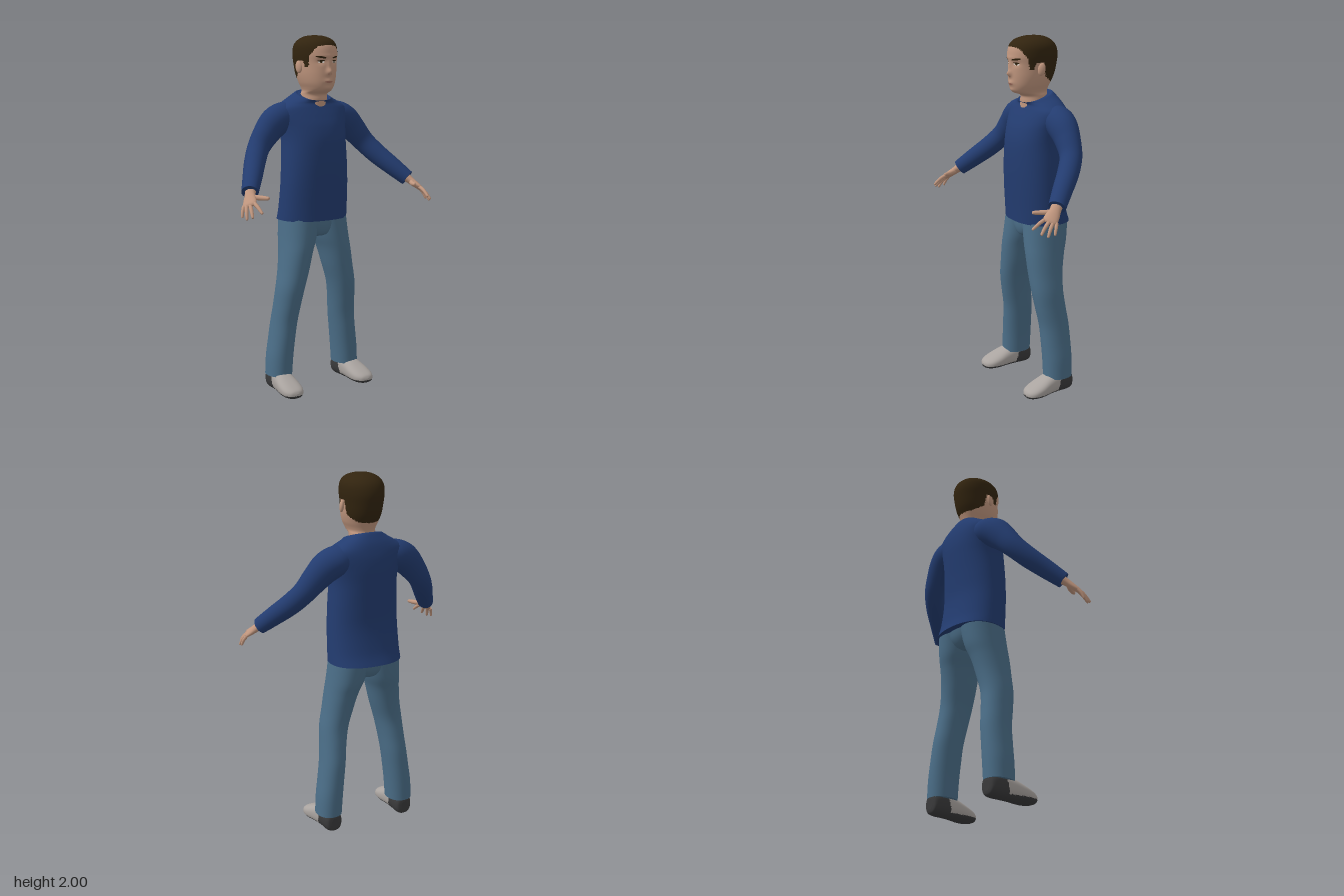
import * as THREE from 'three';

const mat = (name, color) => {
  const m = new THREE.MeshStandardMaterial({ color });
  m.name = name;
  return m;
};
const skin = mat('skin', 0xc0967e), hair = mat('hair', 0x32240f), shirt = mat('shirt blue', 0x233c70);
const denim = mat('denim', 0x4b6e88), shoeGrey = mat('shoe grey', 0xaaa4a0), sole = mat('sole dark', 0x3a3a3b);
const eyeWhite = mat('eye white', 0xd8d0c8), lip = mat('lip', 0xa87464);

// Smooth interpolation of rows of numbers, all of one length
function spread(rows, n) {
  const out = [];
  for (let i = 0; i <= n; i++) {
    const f = (i / n) * (rows.length - 1), k = Math.min(Math.floor(f), rows.length - 2), t = f - k;
    const [a, b, c, d] = [-1, 0, 1, 2].map(o => rows[THREE.MathUtils.clamp(k + o, 0, rows.length - 1)]);
    out.push(b.map((p1, j) => p1 + 0.5 * t * (c[j] - a[j]
      + t * (2 * a[j] - 5 * p1 + 4 * c[j] - d[j] + t * (3 * (p1 - c[j]) + d[j] - a[j])))));
  }
  return out;
}

// Skin a closed surface over rings; place(row, cos, sin, index, rows) gives a point
function loft(name, rows, place, materials, { n = 40, segs = 40, p = 2, mirror = 1, pick = null } = {}) {
  const R = spread(rows, n), pos = [], tris = [];
  const bend = v => Math.sign(v) * Math.abs(v) ** (2 / p);
  R.forEach((r, i) => {
    for (let j = 0; j < segs; j++) {
      const a = (j / segs) * Math.PI * 2;
      const [x, y, z] = place(r, bend(Math.cos(a)), bend(Math.sin(a)), i, R);
      pos.push(x * mirror, y, z);
    }
  });
  for (let i = 0; i < n; i++) for (let j = 0; j < segs; j++) {
    const a = i * segs + j, b = i * segs + (j + 1) % segs;
    tris.push([a, b, a + segs], [b, b + segs, a + segs]);
  }
  // end caps with their own vertices, so the rims stay crisp
  [0, n].forEach(i => {
    const base = pos.length / 3, mid = [0, 0, 0];
    for (let j = 0; j < segs; j++) for (let c = 0; c < 3; c++) {
      const v = pos[(i * segs + j) * 3 + c];
      pos.push(v);
      mid[c] += v / segs;
    }
    pos.push(...mid);
    for (let j = 0; j < segs; j++) {
      const a = base + j, b = base + (j + 1) % segs;
      tris.push(i ? [a, b, base + segs] : [b, a, base + segs]);
    }
  });
  // make the surface face outward
  const pt = i => new THREE.Vector3().fromArray(pos, i * 3);
  const volume = tris.reduce((s, [a, b, c]) => s + pt(a).dot(pt(b).cross(pt(c))), 0);
  if (volume < 0) tris.forEach(t => t.reverse());

  const g = new THREE.BufferGeometry();
  g.setAttribute('position', new THREE.Float32BufferAttribute(pos, 3));
  if (pick) {
    const sets = materials.map(() => []);
    tris.forEach(t => {
      const c = pt(t[0]).add(pt(t[1])).add(pt(t[2])).divideScalar(3);
      sets[pick(c.x, c.y, c.z)].push(...t);
    });
    let start = 0;
    sets.forEach((s, i) => { g.addGroup(start, s.length, i); start += s.length; });
    g.setIndex(sets.flat());
  } else g.setIndex(tris.flat());
  g.computeVertexNormals();
  const m = new THREE.Mesh(g, materials);
  m.name = name;
  return m;
}

// Rings square to a path; rows are [x, y, z, radius along axis, radius across]
function limb(name, rows, axis, material, opts) {
  const at = r => new THREE.Vector3(r[0], r[1], r[2]);
  return loft(name, rows, (r, c, s, i, R) => {
    const t = at(R[Math.min(i + 1, R.length - 1)]).sub(at(R[Math.max(i - 1, 0)])).normalize();
    const u = new THREE.Vector3(...axis);
    u.addScaledVector(t, -t.dot(u)).normalize();
    const v = t.clone().cross(u);
    return at(r).addScaledVector(u, c * r[3]).addScaledVector(v, s * r[4]).toArray();
  }, material, opts);
}

// Level rings; rows are [y, x centre, half width, z front, z back, rise to the back]
const level = ([y, xc, rx, zf, zb, tilt = 0], c, s) =>
  [xc + rx * c, y - tilt * s, (zf + zb) / 2 + s * (zf - zb) / 2];

function makeHead() {
  const g = new THREE.Group();
  g.name = 'head';
  const rows = [
    [1.61, 0, .078, -.005, -.16], [1.65, 0, .074, -.005, -.155], [1.68, 0, .072, -.002, -.152],
    [1.697, 0, .071, .042, -.152], [1.715, 0, .077, .06, -.157], [1.745, 0, .09, .068, -.17],
    [1.79, 0, .101, .071, -.192], [1.85, 0, .107, .071, -.207], [1.90, 0, .112, .074, -.212],
    [1.945, 0, .108, .064, -.2], [1.975, 0, .087, .04, -.172], [1.994, 0, .05, -.01, -.13], [2.0, 0, .006, -.066, -.078]];
  // bumps on the face: [x, y, depth, x spread, y spread]
  const bumps = [[0, 1.803, .02, .014, .017], [0, 1.84, .009, .01, .03], [.042, 1.857, -.008, .02, .014],
    [-.042, 1.857, -.008, .02, .014], [0, 1.752, .008, .024, .013], [0, 1.712, .005, .025, .012], [0, 1.886, .003, .06, .01]];
  // hairline height along z, from forehead to nape
  const line = [[.09, 1.952], [.05, 1.94], [.03, 1.905], [.012, 1.885], [.005, 1.825], [-.018, 1.825],
    [-.028, 1.862], [-.078, 1.862], [-.092, 1.785], [-.15, 1.75], [-.3, 1.735]];
  const isHair = (x, y, z) => {
    const k = line.findIndex(([lz], i) => i > 0 && z >= lz);
    const [z0, y0] = line[k - 1], [z1, y1] = line[k];
    return y > y0 + (y1 - y0) * (z - z0) / (z1 - z0) ? 1 : 0;
  };
  const skull = loft('face and hair', rows, (r, c, s) => {
    const p = level(r, c, s);
    if (s > 0) for (const [x, y, d, sx, sy] of bumps)
      p[2] += d * Math.min(1, s * 2) * Math.exp(-(((p[0] - x) / sx) ** 2) - ((p[1] - y) / sy) ** 2);
    return p;
  }, [skin, hair], { n: 96, segs: 96, p: 2.1, pick: isHair });
  g.add(skull);

  // thin painted ellipse laid on the face
  const ray = new THREE.Raycaster();
  const paint = (name, material, x, y, w, h, turn, lift) => {
    const geo = new THREE.RingGeometry(0.001, 1, 20, 2).scale(w / 2, h / 2, 1).rotateZ(turn).translate(x, y, 0);
    const P = geo.attributes.position;
    for (let i = 0; i < P.count; i++) {
      ray.set(new THREE.Vector3(P.getX(i), P.getY(i), 1), new THREE.Vector3(0, 0, -1));
      P.setZ(i, ray.intersectObject(skull)[0].point.z + lift);
    }
    geo.computeVertexNormals();
    const m = new THREE.Mesh(geo, material);
    m.name = name;
    g.add(m);
  };
  for (const s of [1, -1]) {
    const side = s > 0 ? 'left ' : 'right ';
    paint(side + 'eye', eyeWhite, s * .042, 1.855, .034, .013, 0, .0015);
    paint(side + 'iris', hair, s * .042, 1.856, .014, .013, 0, .0025);
    paint(side + 'lashes', hair, s * .043, 1.862, .038, .006, s * -.08, .003);
    paint(side + 'eyebrow', hair, s * .045, 1.881, .054, .01, s * .16, .002);
    paint(side + 'nostril', lip, s * .008, 1.79, .008, .004, 0, .0015);
    const ear = new THREE.Mesh(new THREE.SphereGeometry(1, 20, 14), skin);
    ear.name = side + 'ear';
    ear.scale.set(.012, .034, .021);
    ear.position.set(s * .112, 1.828, -.058);
    ear.rotation.set(-.2, s * -.35, 0);
    g.add(ear);
  }
  paint('mouth', lip, 0, 1.748, .05, .011, 0, .0015);
  return g;
}

function makeHand(mirror) {
  const g = new THREE.Group();
  g.name = mirror > 0 ? 'left hand' : 'right hand';
  const across = [.042, -.025, -.04];
  g.add(limb('palm', [[.512, 1.202, .095, .031, .027], [.535, 1.175, .125, .03, .021], [.554, 1.151, .155, .037, .017],
    [.569, 1.133, .179, .037, .013], [.574, 1.127, .187, .022, .006]], across, skin, { n: 16, segs: 24, mirror }));
  // knuckle, middle, tip and radius of each finger
  const fingers = {
    thumb: [[.532, 1.168, .138], [.505, 1.165, .182], [.485, 1.166, .226], .014],
    'index finger': [[.55, 1.148, .18], [.55, 1.128, .226], [.547, 1.1, .266], .0105],
    'middle finger': [[.565, 1.138, .174], [.578, 1.11, .212], [.587, 1.078, .24], .0105],
    'ring finger': [[.579, 1.13, .165], [.595, 1.1, .192], [.604, 1.066, .211], .01],
    'little finger': [[.588, 1.125, .15], [.602, 1.1, .164], [.61, 1.072, .174], .009]};
  for (const [name, [a, b, c, r]] of Object.entries(fingers)) {
    const tip = c.map((v, i) => v + (c[i] - b[i]) * .08);
    g.add(limb(name, [[...a, r, r], [...b, r * .95, r * .95], [...c, r * .65, r * .65], [...tip, .001, .001]],
      across, skin, { n: 12, segs: 12, mirror }));
  }
  return g;
}

export function createModel() {
  const model = new THREE.Group();
  model.name = 'standing man';
  model.add(makeHead());

  // pullover body with a tilted neckline
  model.add(loft('pullover body', [
    [.98, 0, .206, .052, -.258, 0], [1.05, 0, .204, .055, -.235, 0], [1.18, 0, .2, .062, -.216, 0],
    [1.3, 0, .194, .066, -.219, 0], [1.42, 0, .188, .062, -.228, 0], [1.5, 0, .196, .045, -.233, 0],
    [1.56, 0, .212, .02, -.23, 0], [1.605, 0, .213, -.002, -.222, 0], [1.637, 0, .168, -.012, -.21, .008],
    [1.66, 0, .122, -.006, -.192, .02], [1.672, 0, .097, .004, -.178, .027], [1.668, 0, .086, -.002, -.168, .027],
  ], level, shirt, { n: 66, segs: 56, p: 2.3 }));

  // hips joining the two legs
  model.add(loft('trouser seat', [[.885, 0, .05, -.01, -.15], [.9, 0, .09, .015, -.185], [.94, 0, .14, .028, -.212],
    [1.0, 0, .19, .03, -.225]], level, denim, { n: 16 }));

  for (const mirror of [1, -1]) {
    const side = mirror > 0 ? 'left ' : 'right ';
    model.add(limb(side + 'sleeve', [
      [.1, 1.56, -.125, .07, .07], [.17, 1.555, -.123, .085, .082], [.235, 1.525, -.117, .08, .084],
      [.295, 1.467, -.108, .068, .074], [.355, 1.395, -.088, .06, .062], [.41, 1.325, -.035, .058, .058],
      [.47, 1.253, .04, .053, .052], [.525, 1.188, .108, .047, .044]],
      [0, 0, 1], shirt, { n: 48, segs: 32, mirror }));
    model.add(makeHand(mirror));

    // leg rows: [y, inner x, outer x, z front, z back]
    const leg = [[.095, .158, .3, -.018, -.186], [.2, .15, .294, -.016, -.187], [.3, .14, .28, -.012, -.185],
      [.4, .128, .267, -.006, -.18], [.5, .115, .257, .012, -.166], [.6, .096, .248, .028, -.156],
      [.7, .068, .231, .035, -.165], [.8, .042, .217, .039, -.186], [.88, .012, .208, .037, -.21], [1.0, -.02, .198, .03, -.228]];
    model.add(loft(side + 'trouser leg', leg.map(([y, a, b, f, k]) => [y, (a + b) / 2, (b - a) / 2, f, k]),
      level, denim, { n: 50, p: 2.2, mirror }));

    // shoe rows: [z, x centre, half width, bottom, top]
    model.add(loft(side + 'shoe', [[-.185, .228, .02, .03, .085], [-.178, .228, .042, .01, .11], [-.15, .229, .052, .002, .125],
      [-.09, .231, .054, .002, .13], [-.03, .235, .06, .002, .115], [.03, .239, .066, 0, .09], [.08, .241, .06, .002, .068],
      [.11, .242, .04, .008, .052], [.121, .242, .012, .018, .036]],
      ([z, x, w, lo, hi], c, s) => [x + w * c, (lo + hi) / 2 + s * (hi - lo) / 2, z],
      [shoeGrey, sole], { n: 60, segs: 56, p: 2.4, mirror, pick: (x, y, z) => (y < .024 || z < -.085 - (y - .06) * .25 ? 1 : 0) }));
  }
  return model;
}
